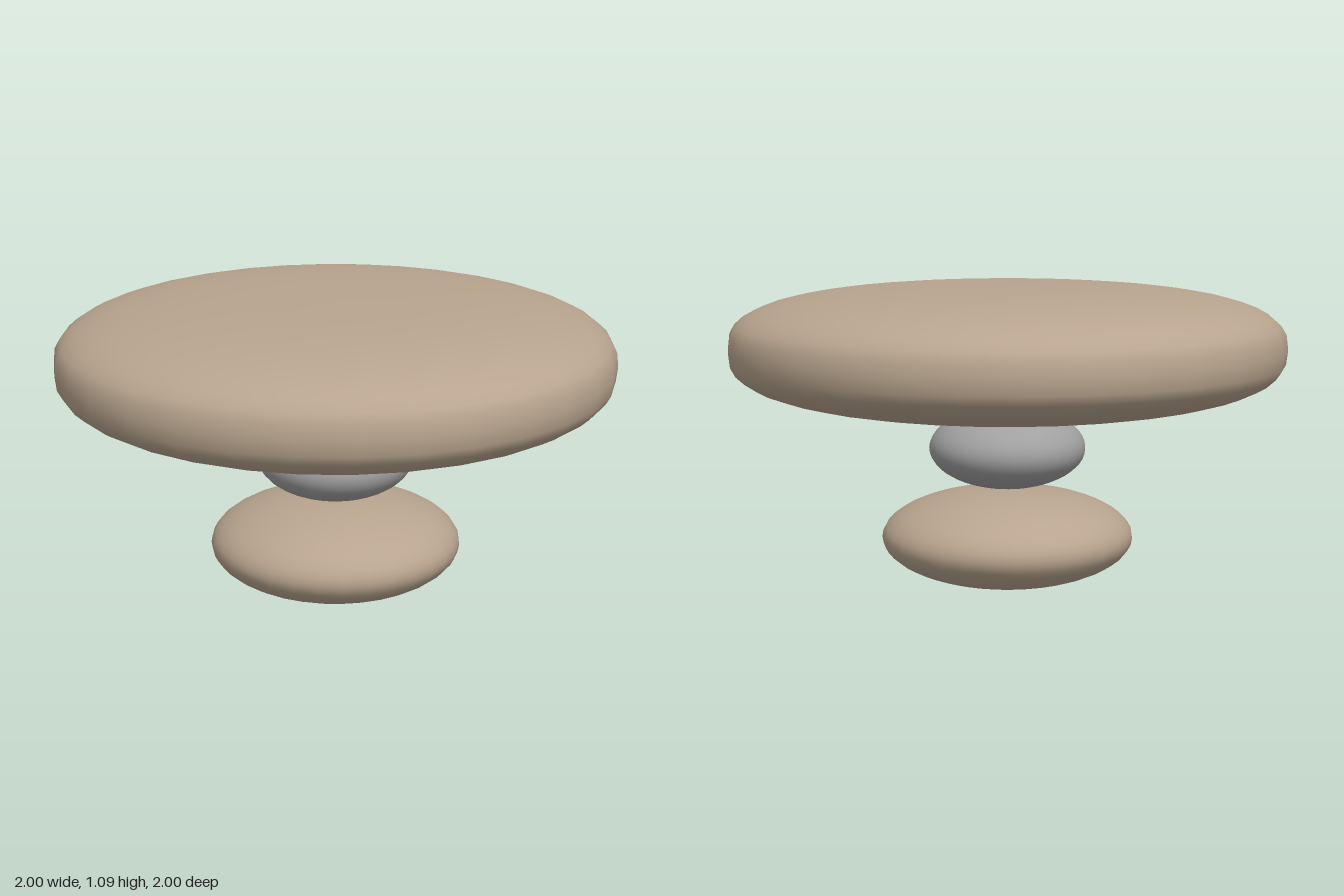
import * as THREE from 'three';

export function createModel() {
  const model = new THREE.Group();
  model.name = 'pebbleTable';

  const stone = new THREE.MeshStandardMaterial({ color: 0xb8a48e });
  stone.name = 'warm stone';
  const grey = new THREE.MeshStandardMaterial({ color: 0xa0a0a0 });
  grey.name = 'grey stone';

  // Turned pebble: a superellipse profile, exponent 2 being a plain ellipsoid
  function pebble(name, material, radius, halfHeight, centreY, exponent = 2, steps = 24) {
    const points = [];
    for (let i = 0; i <= steps; i++) {
      const a = -Math.PI / 2 + (Math.PI * i) / steps;
      const c = i === 0 || i === steps ? 0 : Math.cos(a);
      const s = Math.sin(a);
      points.push(new THREE.Vector2(
        radius * Math.pow(c, 2 / exponent),
        halfHeight * Math.sign(s) * Math.pow(Math.abs(s), 2 / exponent)
      ));
    }
    const mesh = new THREE.Mesh(new THREE.LatheGeometry(points, 32), material);
    mesh.name = name;
    mesh.position.y = centreY;
    model.add(mesh);
  }

  // Three stacked stones
  pebble('base', stone, 0.457, 0.175, 0.178);
  pebble('neck', grey, 0.284, 0.147, 0.503);
  pebble('tableTop', stone, 1, 0.222, 0.872, 2.8);

  // Rest the base exactly on the ground
  model.children.forEach((part) => { part.position.y -= 0.003; });
  return model;
}
